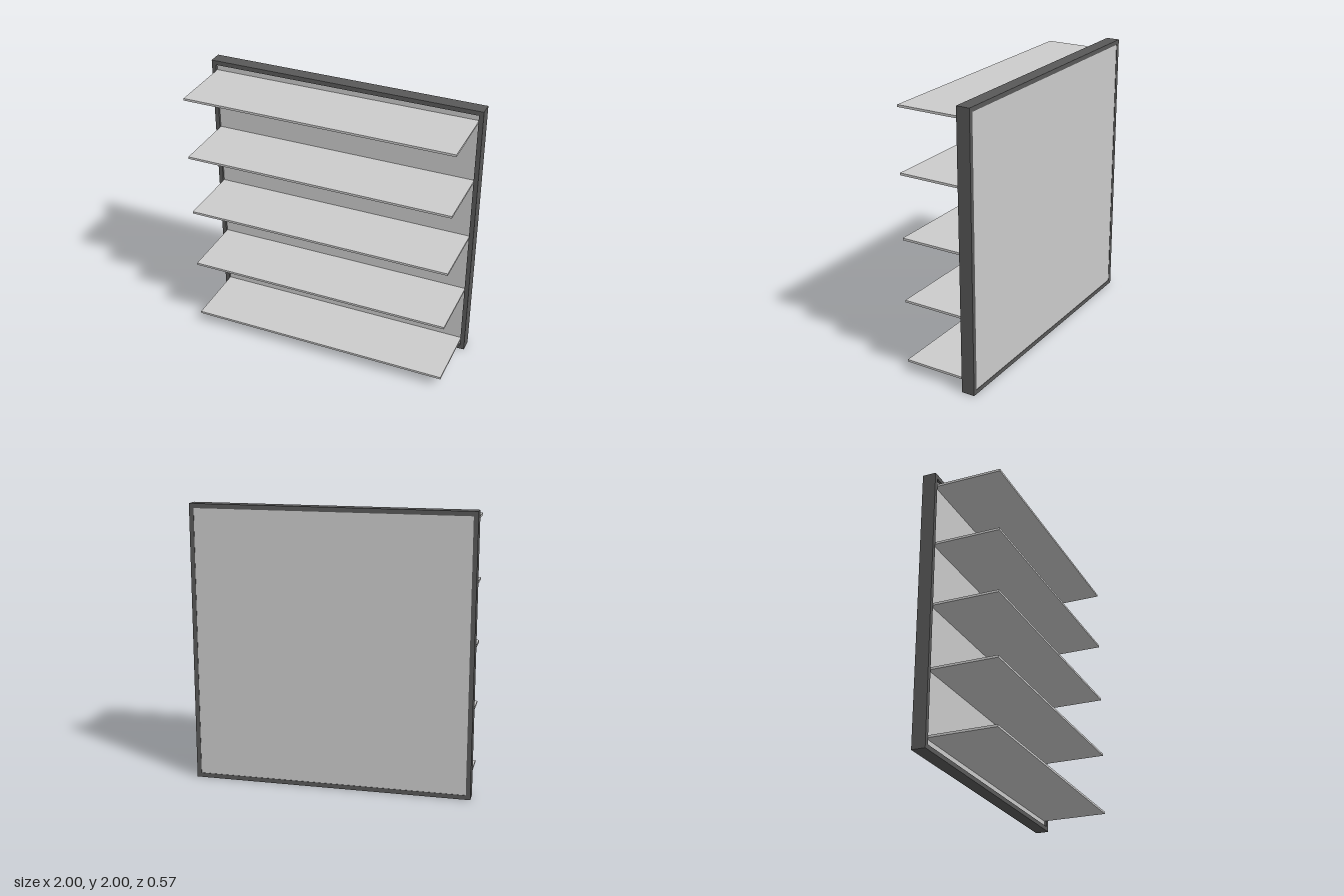
import * as THREE from 'three';

export function createModel() {
  const group = new THREE.Group();
  group.name = 'wallShelf';

  const grey = new THREE.MeshStandardMaterial({ color: 0xcccccc });
  const dark = new THREE.MeshStandardMaterial({ color: 0x595959 });

  const border = 0.032, inner = 2 - 2 * border;
  const frameBack = -0.283, frameDepth = 0.097;
  const panelBack = -0.28, panelFront = -0.203;
  const shelfFront = 0.283, shelfThickness = 0.016;

  const add = (name, geometry, material, x, y, z) => {
    const mesh = new THREE.Mesh(geometry, material);
    mesh.name = name;
    mesh.position.set(x, y, z);
    group.add(mesh);
  };

  const rectangle = (PathType, half) => new PathType([
    new THREE.Vector2(-half, -half), new THREE.Vector2(half, -half),
    new THREE.Vector2(half, half), new THREE.Vector2(-half, half),
  ]);

  // Square outer frame, open in the middle
  const outline = rectangle(THREE.Shape, 1);
  outline.holes.push(rectangle(THREE.Path, inner / 2));
  add('frame', new THREE.ExtrudeGeometry(outline, { depth: frameDepth, bevelEnabled: false }),
    dark, 0, 1, frameBack);

  // Back panel, slightly recessed behind the front of the frame
  add('backPanel', new THREE.BoxGeometry(inner, inner, panelFront - panelBack),
    grey, 0, 1, (panelFront + panelBack) / 2);

  // Five evenly spaced shelves
  const shelfDepth = shelfFront - panelFront;
  const shelfGeometry = new THREE.BoxGeometry(inner, shelfThickness, shelfDepth);
  for (let i = 0; i < 5; i++) {
    add(`shelf${i + 1}`, shelfGeometry, grey,
      0, 1 + (i - 2) * 0.458, panelFront + shelfDepth / 2);
  }

  return group;
}
